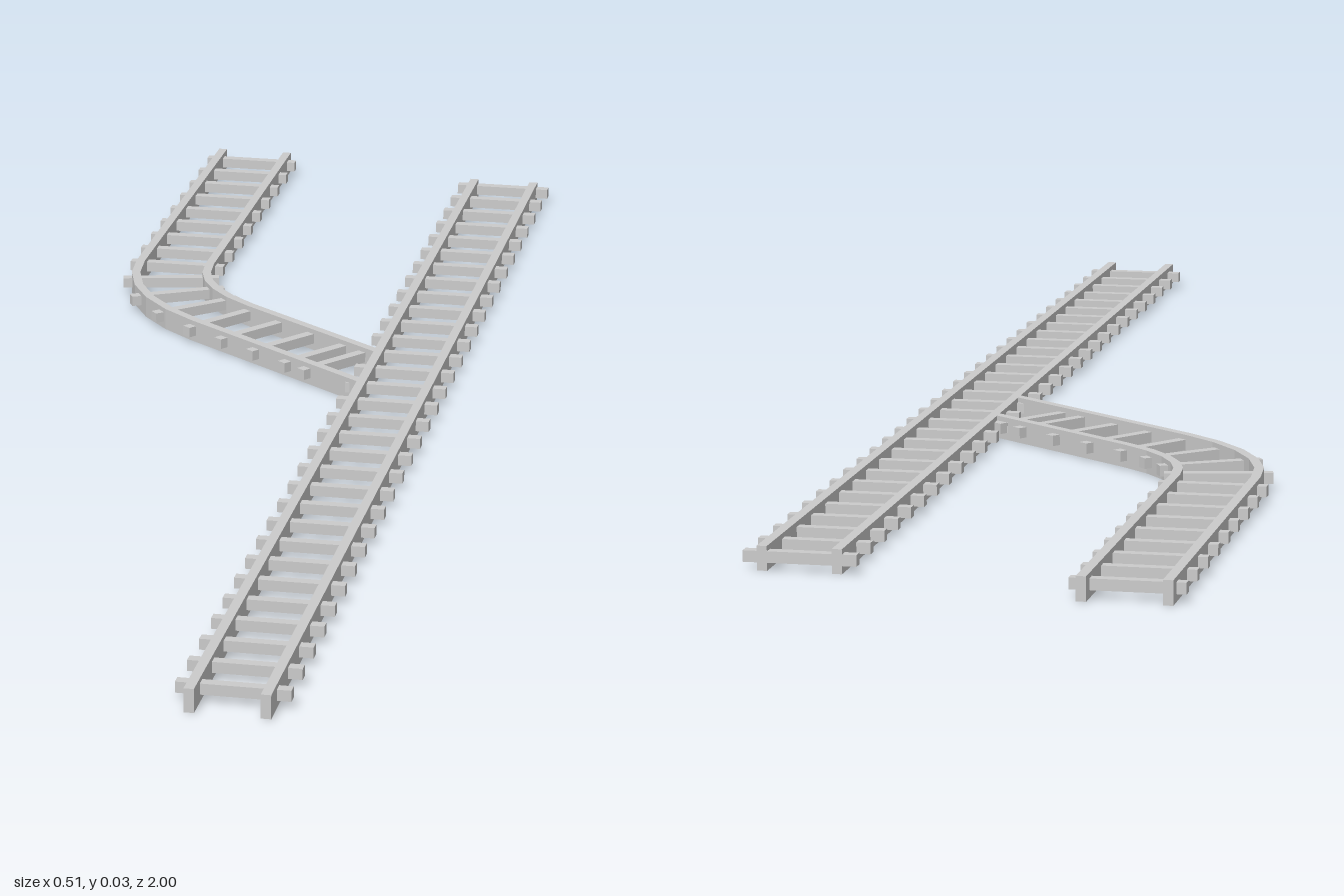
import * as THREE from 'three';

const RAIL_W = 0.0115, RAIL_H = 0.028;
const TIE_LEN = 0.129, TIE_T = 0.013, TIE_Y = 0.0155, TIE_GAP = 0.0627;
const JOIN_X = 0.142; // where the branch meets the main track

const material = new THREE.MeshStandardMaterial({ color: 0xcccccc, flatShading: true });

function addMesh(parent, name, geometry) {
  const mesh = new THREE.Mesh(geometry, material);
  mesh.name = name;
  parent.add(mesh);
  return mesh;
}

// Crossbar centred at (x, z), square to the track direction
function addTie(parent, x, z, dir) {
  const tie = addMesh(parent, 'tie', new THREE.BoxGeometry(TIE_LEN, TIE_T, TIE_T));
  tie.position.set(x, TIE_Y, z);
  tie.rotation.y = Math.atan2(dir.x, dir.y);
}

// Polyline in plan (x, z) shifted sideways by d, its end cut at JOIN_X
function offsetLine(points, d) {
  const dirs = points.slice(1).map((p, i) => p.clone().sub(points[i]).normalize());
  const out = points.map((p, i) => {
    const a = dirs[Math.max(i - 1, 0)], b = dirs[Math.min(i, dirs.length - 1)];
    const t = a.clone().add(b).normalize();
    const miter = d / t.dot(a);
    return new THREE.Vector2(p.x + t.y * miter, p.y - t.x * miter);
  });
  const end = out[out.length - 1], last = dirs[dirs.length - 1];
  end.addScaledVector(last, (JOIN_X - end.x) / last.x);
  return out;
}

function bentRail(points, d) {
  const outline = [
    ...offsetLine(points, d - RAIL_W / 2),
    ...offsetLine(points, d + RAIL_W / 2).reverse(),
  ].map((p) => new THREE.Vector2(p.x, -p.y));
  const geometry = new THREE.ExtrudeGeometry(new THREE.Shape(outline), { depth: RAIL_H, bevelEnabled: false });
  return geometry.rotateX(-Math.PI / 2);
}

function createMainTrack() {
  const track = new THREE.Group();
  track.name = 'mainTrack';
  const x = 0.189, back = -0.925, front = 1;
  for (const side of [-1, 1]) {
    const rail = addMesh(track, 'rail', new THREE.BoxGeometry(RAIL_W, RAIL_H, front - back));
    rail.position.set(x + side * 0.0425, RAIL_H / 2, (front + back) / 2);
  }
  for (let i = 0; i < 31; i++) addTie(track, x, -0.918 + i * TIE_GAP, new THREE.Vector2(0, 1));
  return track;
}

function createBranchTrack() {
  const track = new THREE.Group();
  track.name = 'branchTrack';
  // Centre line in plan: straight, bend, slanted run into the main track
  const v = (x, z) => new THREE.Vector2(x, z);
  const bend = new THREE.QuadraticBezierCurve(v(-0.19, -0.46), v(-0.19, -0.345), v(-0.082, -0.262));
  const points = [v(-0.19, -1), ...bend.getPoints(5), v(0.14, -0.093)];
  for (const side of [-1, 1]) addMesh(track, 'rail', bentRail(points, side * 0.0475));

  const path = new THREE.CurvePath();
  path.add(new THREE.LineCurve(points[0], bend.v0));
  path.add(bend);
  path.add(new THREE.LineCurve(bend.v2, points[points.length - 1]));
  const length = path.getLength();
  const stops = Array.from({ length: 16 }, (_, i) => 0.023 + i * TIE_GAP);
  stops.push(stops[15] + 0.037); // closer tie at the junction
  for (const s of stops) {
    const u = s / length;
    const p = path.getPoint(u);
    addTie(track, p.x, p.y, path.getTangent(u));
  }
  return track;
}

export function createModel() {
  const model = new THREE.Group();
  model.name = 'railwayJunction';
  model.add(createMainTrack(), createBranchTrack());
  return model;
}
